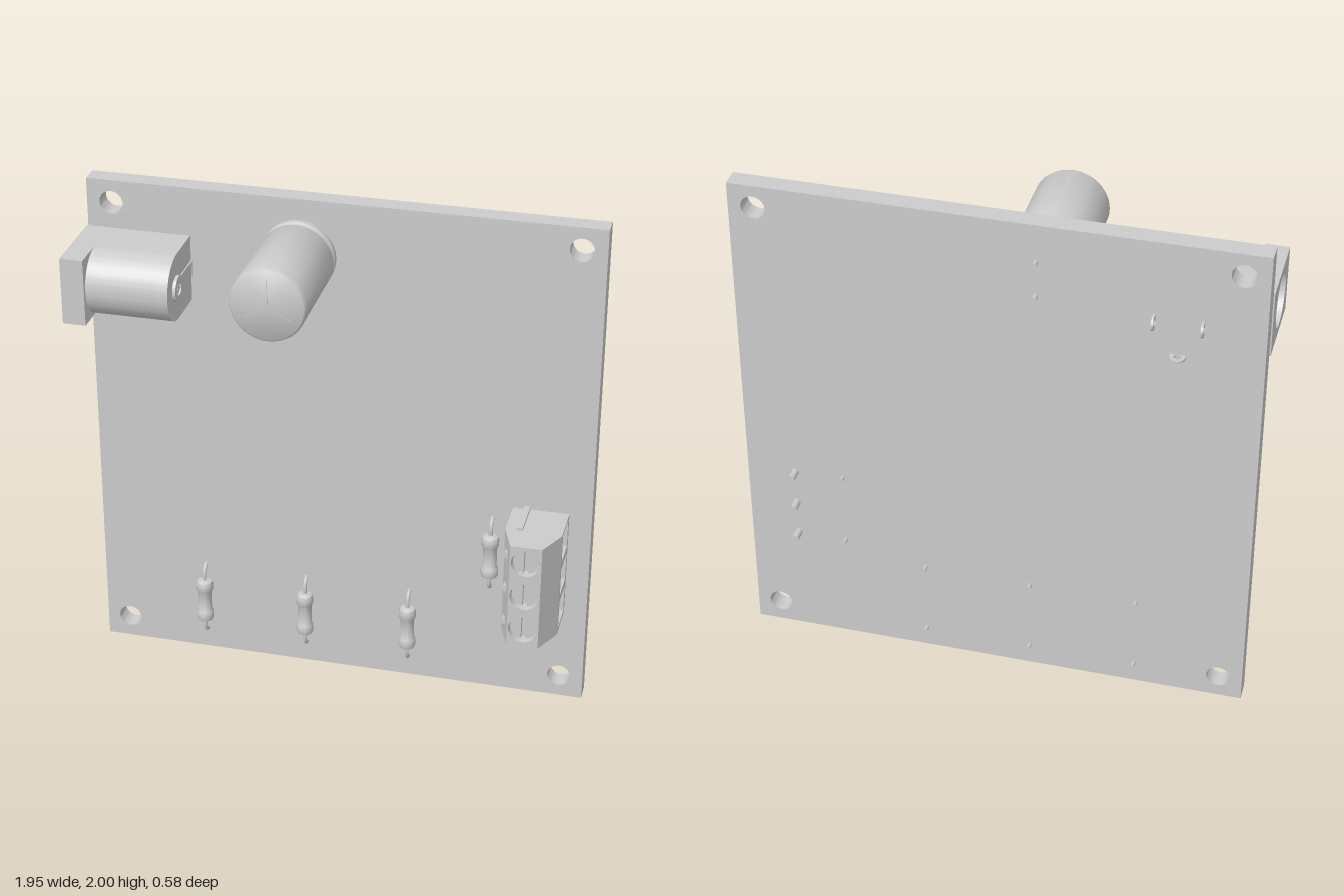
import * as THREE from 'three';
import { toCreasedNormals } from 'three/addons/utils/BufferGeometryUtils.js';

const FRONT = -0.165, BACK = -0.24; // faces of the board, along z
const grey = new THREE.MeshStandardMaterial({ color: 0xcccccc });

function add(parent, name, geometry) {
  const mesh = new THREE.Mesh(geometry, grey);
  mesh.name = name;
  parent.add(mesh);
  return mesh;
}

function group(parent, name) {
  const g = new THREE.Group();
  g.name = name;
  parent.add(g);
  return g;
}

function poly(points, Type = THREE.Shape) {
  return new Type(points.map(([x, y]) => new THREE.Vector2(x, y)));
}

const rect = (x0, y0, x1, y1, Type) => poly([[x0, y0], [x1, y0], [x1, y1], [x0, y1]], Type);
const hole = (x, y, r) => new THREE.Path().absarc(x, y, r, 0, Math.PI * 2, true);

// Extrusions along each axis: X takes (-z, y) shapes, Y takes (x, -z), Z takes (x, y)
function extrude(shape, from, to, axis) {
  const g = new THREE.ExtrudeGeometry(shape, { depth: to - from, bevelEnabled: false, curveSegments: 24 });
  g.translate(0, 0, from);
  if (axis === 'x') g.rotateY(Math.PI / 2);
  if (axis === 'y') g.rotateX(-Math.PI / 2);
  return toCreasedNormals(g, 0.5);
}

function box(x0, x1, y0, y1, z0, z1) {
  return new THREE.BoxGeometry(x1 - x0, y1 - y0, z1 - z0)
    .translate((x0 + x1) / 2, (y0 + y1) / 2, (z0 + z1) / 2);
}

function rodZ(r, x, y, z0, z1, sides = 16) {
  return new THREE.CylinderGeometry(r, r, z1 - z0, sides)
    .rotateX(Math.PI / 2).translate(x, y, (z0 + z1) / 2);
}

function rodX(r, y, z, x0, x1) {
  return new THREE.CylinderGeometry(r, r, x1 - x0, 24)
    .rotateZ(Math.PI / 2).translate((x0 + x1) / 2, y, z);
}

function lathe(profile, segments = 32) {
  const g = new THREE.LatheGeometry(profile.map(([r, y]) => new THREE.Vector2(r, y)), segments);
  return toCreasedNormals(g, 0.7);
}

function addBoard(parent) {
  const shape = rect(-0.973, 0, 0.973, 2);
  for (const x of [-0.88, 0.88])
    for (const y of [0.092, 1.912]) shape.holes.push(hole(x, y, 0.045));
  add(parent, 'board', extrude(shape, BACK, FRONT, 'z'));
}

function addResistor(parent, x, y) {
  const g = group(parent, 'resistor');
  g.position.set(x, y, -0.135);
  const half = [[0.027, 0], [0.027, 0.04], [0.033, 0.05], [0.034, 0.075], [0.03, 0.087], [0.02, 0.093], [0, 0.094]];
  const lower = half.slice(1).reverse().map(([r, h]) => [r, -h]);
  add(g, 'resistorBody', lathe([...lower, ...half], 24));
  // Bent leads, passing through the board
  for (const s of [1, -1]) {
    const path = new THREE.CatmullRomCurve3(
      [[0.08, 0], [0.12, 0], [0.142, -0.009], [0.152, -0.03], [0.152, -0.06]]
        .map(([h, z]) => new THREE.Vector3(0, s * h, z)));
    add(g, 'bentLead', new THREE.TubeGeometry(path, 14, 0.008, 10));
    add(g, 'leadPin', rodZ(0.008, 0, s * 0.152, -0.13, -0.055, 10));
  }
}

function addCapacitor(parent) {
  const g = group(parent, 'capacitor');
  g.position.set(-0.157, 1.782, FRONT);
  const can = lathe([[0, 0], [0.132, 0], [0.14, 0.008], [0.141, 0.03], [0.133, 0.04], [0.133, 0.046],
    [0.141, 0.058], [0.141, 0.442], [0.138, 0.45], [0.132, 0.455], [0, 0.455]], 48);
  add(g, 'can', can.rotateX(Math.PI / 2));
  // Three-way vent on the end face
  for (let i = 0; i < 3; i++) {
    const vent = add(g, 'ventLine', box(-0.0015, 0.0015, 0, 0.1, 0.454, 0.456));
    vent.rotation.z = i * Math.PI * 2 / 3;
  }
  for (const y of [-0.07, 0.07]) add(g, 'capacitorLead', rodZ(0.009, 0.005, y, -0.1, 0.01, 12));
}

function addPowerJack(parent) {
  const g = group(parent, 'powerJack');
  const y = 1.68, r = 0.13;
  const flange = rect(-0.145, y - r, 0.165, y + r);
  flange.holes.push(hole(0, y, 0.1));
  add(g, 'jackFlange', extrude(flange, -0.978, -0.89, 'x'));

  const outline = () => new THREE.Shape().moveTo(0.165, y - r).lineTo(0.165, y + r)
    .lineTo(0, y + r).absarc(0, y, r, Math.PI / 2, Math.PI * 1.5, false).closePath();
  const sleeve = outline();
  sleeve.holes.push(hole(0, y, 0.1));
  add(g, 'jackSleeve', extrude(sleeve, -0.89, -0.62, 'x'));
  add(g, 'jackEnd', extrude(outline(), -0.62, -0.578, 'x'));
  add(g, 'centrePin', rodX(0.03, y, 0, -0.93, -0.62));

  // Riveted contact on the closed end
  add(g, 'contactStrip', box(-0.58, -0.573, y - 0.03, y + 0.03, FRONT, 0.02));
  const rivet = new THREE.Shape().absarc(-0.02, y, 0.05, 0, Math.PI * 2, false);
  rivet.holes.push(hole(-0.02, y, 0.025));
  add(g, 'rivet', extrude(rivet, -0.58, -0.566, 'x'));
  add(g, 'rivetCore', rodX(0.015, y, 0.02, -0.58, -0.568));

  // Solder tabs with eyelets behind the board
  const tab = (centre, halfWidth, end) => {
    const s = new THREE.Shape().moveTo(end, centre - halfWidth).lineTo(0.255, centre - halfWidth)
      .absarc(0.255, centre, halfWidth, -Math.PI / 2, Math.PI / 2, false)
      .lineTo(end, centre + halfWidth).closePath();
    s.holes.push(hole(0.255, centre, halfWidth * 0.5));
    return s;
  };
  for (const x of [-0.75, -0.575]) add(g, 'solderTab', extrude(tab(y, 0.028, 0.15), x - 0.004, x + 0.004, 'x'));
  const side = extrude(tab(0, 0.028, 0.15), -0.004, 0.004, 'x').rotateZ(Math.PI / 2).translate(-0.665, 1.548, 0);
  add(g, 'sideSolderTab', side);
  add(g, 'sideContact', box(-0.71, -0.62, 1.537, 1.552, FRONT, -0.05));
}

function addTerminalBlock(parent) {
  const g = group(parent, 'terminalBlock');
  const y0 = 0.39, y1 = 0.825, rows = [0.465, 0.61, 0.755];
  add(g, 'blockBase', box(0.672, 0.84, y0, y1, FRONT, 0));

  // Wire side with three rectangular entries
  const wall = rect(0, y0, 0.165, y1);
  for (const y of rows) wall.holes.push(rect(0.022, y - 0.057, 0.143, y + 0.057, THREE.Path));
  add(g, 'wireEntryWall', extrude(wall, 0.84, 0.887, 'x'));

  // Tapered top: a slab with screw wells and a wedge on each side
  const slab = rect(0.712, y0, 0.832, y1);
  for (const y of rows) slab.holes.push(hole(0.772, y, 0.055));
  add(g, 'screwSlab', extrude(slab, 0, 0.115, 'z'));
  add(g, 'leftTaper', extrude(poly([[0.832, 0], [0.887, 0], [0.832, -0.115]]), y0, y1, 'y'));
  add(g, 'rightTaper', extrude(poly([[0.672, 0], [0.712, 0], [0.712, -0.115]]), y0, y1, 'y'));
  add(g, 'keyRib', box(0.715, 0.738, y1, y1 + 0.012, FRONT, 0));

  for (const y of rows) {
    // Slotted screw: two half discs on a shank
    add(g, 'screwShank', rodZ(0.053, 0.772, y, 0, 0.075, 24));
    for (const s of [1, -1]) {
      const halfDisc = new THREE.Shape().absarc(0, 0, 0.05, -1.4, 1.4, false).closePath();
      const head = add(g, 'screwHead', extrude(halfDisc, 0.075, 0.098, 'z'));
      head.position.set(0.772, y, 0);
      head.rotation.z = s > 0 ? 0 : Math.PI;
    }
    // Wire clamp inside the entry
    const clamp = new THREE.Shape().moveTo(0.032, y - 0.037).lineTo(0.1, y - 0.037)
      .absarc(0.1, y, 0.037, -Math.PI / 2, Math.PI / 2, false).lineTo(0.032, y + 0.037).closePath();
    clamp.holes.push(rect(0.042, y - 0.028, 0.095, y + 0.028, THREE.Path));
    add(g, 'wireClamp', extrude(clamp, 0.835, 0.87, 'x'));
    add(g, 'testPoint', rodZ(0.014, 0.695, y, 0, 0.072));
    add(g, 'solderPin', rodZ(0.014, 0.785, y, -0.29, FRONT));
  }
}

export function createModel() {
  const model = new THREE.Group();
  model.name = 'circuitBoard';
  addBoard(model);
  for (const x of [-0.55, -0.138, 0.277]) addResistor(model, x, 0.24);
  addResistor(model, 0.595, 0.615);
  addCapacitor(model);
  addPowerJack(model);
  addTerminalBlock(model);
  return model;
}
